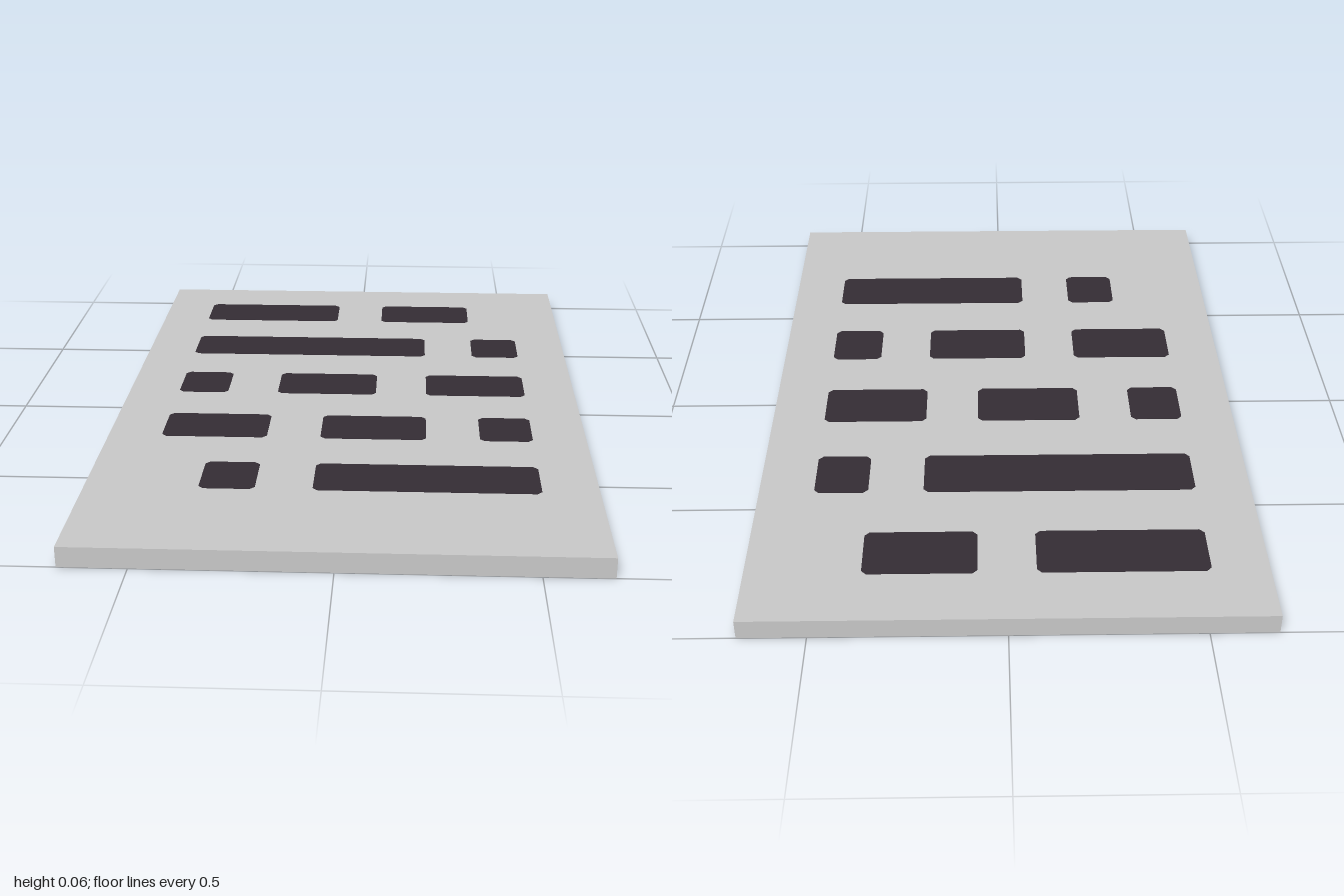
import * as THREE from 'three';

const WIDTH = 1.35, HEIGHT = 0.055, LENGTH = 2;
const CELL = 0.15, BAR_DEPTH = 0.163, ROW_PITCH = 0.333;

// Each row lists its bars as [first cell, cell count], from the back to the front
const ROWS = [
  [[0, 3], [4, 2]],
  [[0, 5], [6, 1]],
  [[0, 1], [2, 2], [5, 2]],
  [[0, 2], [3, 2], [6, 1]],
  [[1, 1], [3, 4]],
];

// Flat bar with slightly clipped corners, lying in the xz plane
function barGeometry(w, d, cut = 0.013) {
  const x = w / 2, y = d / 2;
  const shape = new THREE.Shape([
    [-x + cut, -y], [x - cut, -y], [x, -y + cut], [x, y - cut],
    [x - cut, y], [-x + cut, y], [-x, y - cut], [-x, -y + cut],
  ].map(([px, py]) => new THREE.Vector2(px, py)));
  const geometry = new THREE.ExtrudeGeometry(shape, { depth: 0.002, bevelEnabled: false });
  return geometry.rotateX(-Math.PI / 2);
}

export function createModel() {
  const model = new THREE.Group();
  model.name = 'panel';
  const grey = new THREE.MeshStandardMaterial({ color: 0xc9c9c9 });
  grey.name = 'light grey';
  const dark = new THREE.MeshStandardMaterial({ color: 0x342d34 });
  dark.name = 'dark plum';

  // Slab
  const slab = new THREE.Mesh(new THREE.BoxGeometry(WIDTH, HEIGHT, LENGTH), grey);
  slab.name = 'slab';
  slab.position.y = HEIGHT / 2;
  model.add(slab);

  // Rows of painted bars on the top face
  ROWS.forEach((bars, r) => {
    const row = new THREE.Group();
    row.name = `barRow${r + 1}`;
    row.position.set(0, HEIGHT - 0.0005, -0.75 + r * ROW_PITCH);
    for (const [start, count] of bars) {
      const bar = new THREE.Mesh(barGeometry(count * CELL - 0.002, BAR_DEPTH), dark);
      bar.name = 'bar';
      bar.position.x = -0.525 + (start + count / 2) * CELL;
      row.add(bar);
    }
    model.add(row);
  });
  return model;
}
